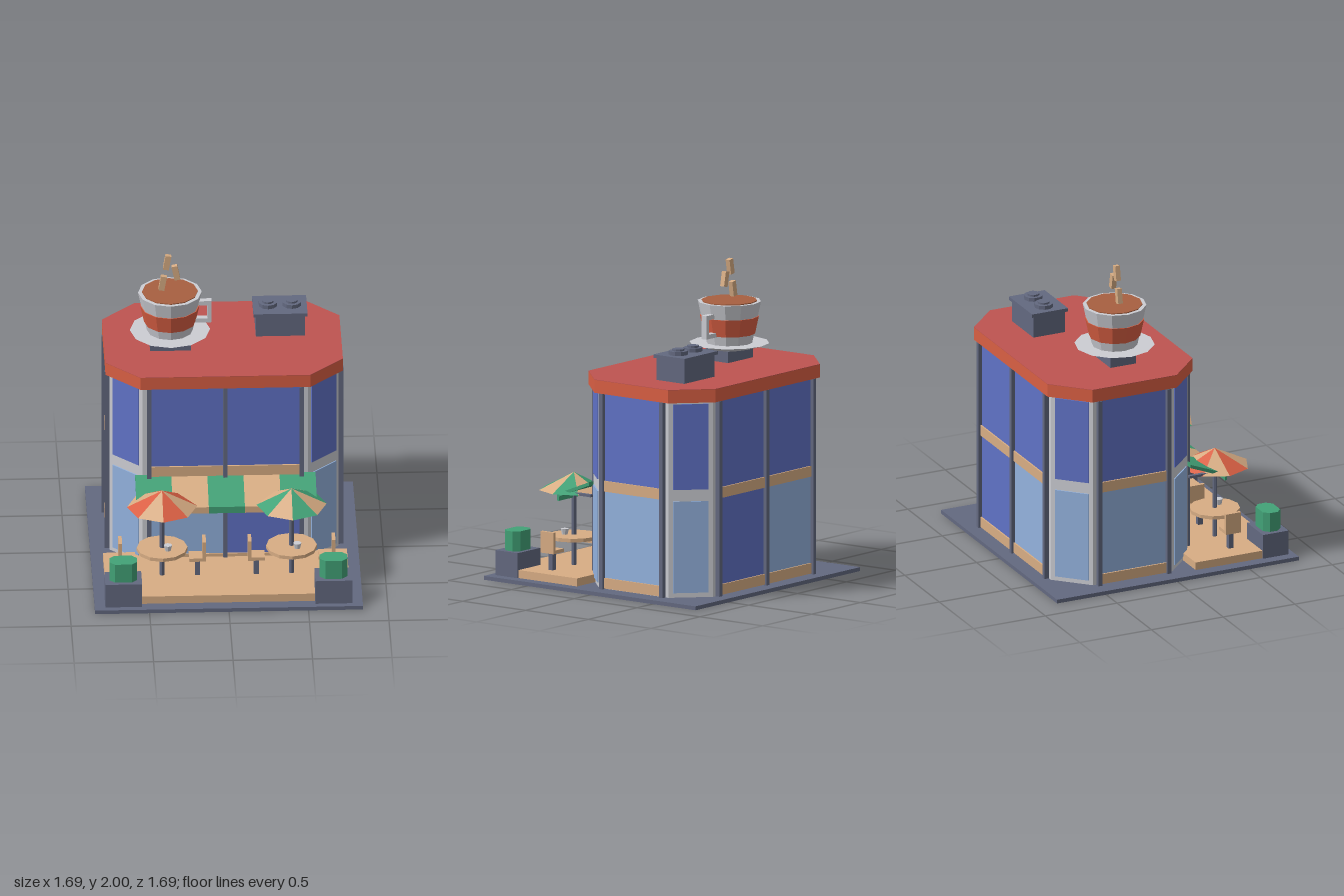
import * as THREE from 'three';

const mat = (name, color, side = THREE.FrontSide) => {
  const m = new THREE.MeshStandardMaterial({ color, side });
  m.flatShading = true;
  m.name = name;
  return m;
};

export function createModel() {
  const slate = mat('slate', 0x636980);
  const red = mat('orangeRed', 0xd95f43, THREE.DoubleSide);
  const roofRed = mat('roofRed', 0xbe5450);
  const tan = mat('tan', 0xd8ad84, THREE.DoubleSide);
  const green = mat('green', 0x42a277, THREE.DoubleSide);
  const pale = mat('paleGrey', 0xcccdd3);
  const blue = mat('blueGlass', 0x6072c6);
  const sky = mat('lightBlueGlass', 0x93b2de);
  const brown = mat('coffee', 0xa86040);

  const model = new THREE.Group();
  model.name = 'cafe';

  const add = (parent, name, geo, m, x = 0, y = 0, z = 0) => {
    const mesh = new THREE.Mesh(geo, m);
    mesh.name = name;
    mesh.position.set(x, y, z);
    parent.add(mesh);
    return mesh;
  };
  const group = (name, x = 0, y = 0, z = 0, ry = 0, parent = model) => {
    const g = new THREE.Group();
    g.name = name;
    g.position.set(x, y, z);
    g.rotation.y = ry;
    parent.add(g);
    return g;
  };
  // Box given by its extents
  const box = (parent, name, m, x0, x1, y0, y1, z0, z1) =>
    add(parent, name, new THREE.BoxGeometry(x1 - x0, y1 - y0, z1 - z0), m,
      (x0 + x1) / 2, (y0 + y1) / 2, (z0 + z1) / 2);
  // Cylinder standing from y0 to y1
  const cyl = (parent, name, m, r0, r1, y0, y1, sides, x = 0, z = 0) =>
    add(parent, name, new THREE.CylinderGeometry(r1, r0, y1 - y0, sides), m, x, (y0 + y1) / 2, z);
  // Rectangle with cut corners, extruded upwards
  const cutPrism = (hx, hz, c, h) => {
    const pts = [[hx, c - hz], [hx, hz - c], [hx - c, hz], [c - hx, hz],
      [-hx, hz - c], [-hx, c - hz], [c - hx, -hz], [hx - c, -hz]];
    const shape = new THREE.Shape(pts.map(p => new THREE.Vector2(...p)));
    return new THREE.ExtrudeGeometry(shape, { depth: h, bevelEnabled: false }).rotateX(-Math.PI / 2);
  };

  // Ground
  box(model, 'baseSlab', slate, -0.843, 0.843, 0, 0.025, -0.843, 0.843);
  box(model, 'terrace', tan, -0.767, 0.767, 0.025, 0.076, 0.16, 0.762);

  // Building shell and roof
  const CZ = -0.256;
  add(model, 'walls', cutPrism(0.72, 0.476, 0.2, 1.25), pale, 0, 0.025, CZ);
  add(model, 'roofRim', cutPrism(0.747, 0.506, 0.213, 0.083), red, 0, 1.275, CZ);
  add(model, 'roofTop', cutPrism(0.747, 0.506, 0.213, 0.003), roofRed, 0, 1.358, CZ);

  // Straight walls: glass bays between dark posts, with tan beams
  const wall = (name, x, z, ry, posts, lowerGlass) => {
    const g = group(name, x, 0, z, ry);
    posts.forEach(p => box(g, 'post', slate, p - 0.014, p + 0.014, 0.025, 1.275, -0.01, 0.032));
    lowerGlass.forEach((m, i) => {
      const a = posts[i] + 0.014, b = posts[i + 1] - 0.014;
      box(g, 'upperWindow', blue, a, b, 0.715, 1.272, 0, 0.008);
      box(g, 'lowerWindow', m, a, b, 0.095, 0.65, 0, 0.008);
      box(g, 'middleBeam', tan, a, b, 0.65, 0.718, 0, 0.018);
      box(g, 'sillBeam', tan, a, b, 0.03, 0.097, 0, 0.018);
    });
  };
  wall('frontWall', 0, CZ + 0.476, 0, [-0.48, 0, 0.48], [sky, blue]);
  wall('backWall', 0, CZ - 0.476, Math.PI, [-0.48, 0, 0.48], [blue, sky]);
  for (const s of [-1, 1]) {
    wall('sideWall', s * 0.72, CZ, s * Math.PI / 2, [-0.239, 0.239], [sky]);
    // Cut corners with framed windows
    for (const f of [-1, 1]) {
      const g = group('cornerWall', s * 0.62, 0, CZ + f * 0.376, Math.atan2(s, f));
      box(g, 'upperWindow', blue, -0.112, 0.112, 0.715, 1.262, 0, 0.008);
      box(g, 'lowerWindow', sky, -0.112, 0.112, 0.055, 0.64, 0, 0.008);
    }
  }

  // Striped awning with a short valance
  const awning = group('awning');
  const profile = new THREE.Shape([[0.22, 0.655], [0.22, 0.633], [0.46, 0.535], [0.46, 0.508],
    [0.475, 0.508], [0.475, 0.552]].map(p => new THREE.Vector2(...p)));
  const stripeW = 0.227;
  for (let i = 0; i < 5; i++) {
    const geo = new THREE.ExtrudeGeometry(profile, { depth: stripeW, bevelEnabled: false }).rotateY(-Math.PI / 2);
    add(awning, 'stripe', geo, i % 2 ? tan : green, (i - 1.5) * stripeW, 0, 0);
  }
  for (const s of [-1, 1])
    box(awning, 'bracket', slate, s * 0.54 - 0.012, s * 0.54 + 0.012, 0.556, 0.572, 0.22, 0.44);

  // Rooftop cup on its pedestal
  const cup = group('cupSign', -0.333, 0, -0.198);
  box(cup, 'pedestal', slate, -0.128, 0.128, 1.36, 1.432, -0.09, 0.09);
  cyl(cup, 'saucer', pale, 0.14, 0.253, 1.432, 1.466, 12);
  cyl(cup, 'bowl', pale, 0.145, 0.201, 1.466, 1.732, 12);
  cyl(cup, 'band', red, 0.163, 0.187, 1.525, 1.637, 12);
  cyl(cup, 'coffee', brown, 0.176, 0.176, 1.73, 1.738, 12);
  box(cup, 'handleTop', pale, 0.17, 0.262, 1.642, 1.672, -0.02, 0.02);
  box(cup, 'handleBottom', pale, 0.15, 0.262, 1.522, 1.55, -0.02, 0.02);
  box(cup, 'handleGrip', pale, 0.235, 0.262, 1.55, 1.642, -0.02, 0.02);
  for (const [x, y, tilt] of [[-0.018, 1.948, -0.17], [0.037, 1.875, 0.2], [-0.046, 1.803, -0.17]])
    add(cup, 'steam', new THREE.BoxGeometry(0.037, 0.097, 0.032), tan, x, y, 0.008).rotation.z = tilt;

  // Rooftop fan unit
  const unit = group('fanUnit', 0.366, 0, -0.393);
  box(unit, 'housing', slate, -0.155, 0.155, 1.36, 1.503, -0.11, 0.11);
  box(unit, 'lid', slate, -0.17, 0.17, 1.503, 1.525, -0.125, 0.125);
  for (const x of [-0.075, 0.075]) {
    cyl(unit, 'fanRing', slate, 0.06, 0.06, 1.525, 1.55, 10, x);
    cyl(unit, 'fanHub', slate, 0.038, 0.038, 1.55, 1.562, 10, x);
  }

  // Terrace furniture
  const chair = (parent, dir) => {
    // dir: side of the seat that carries the back
    const g = group('chair', dir * 0.222, 0, 0, dir > 0 ? 0 : Math.PI, parent);
    box(g, 'seat', tan, -0.053, 0.053, 0.188, 0.21, -0.052, 0.052);
    box(g, 'chairBack', tan, 0.031, 0.053, 0.21, 0.325, -0.052, 0.052);
    box(g, 'chairLeg', slate, -0.016, 0.016, 0.076, 0.188, -0.016, 0.016);
  };
  for (const s of [-1, 1]) {
    const set = group(s < 0 ? 'redTableSet' : 'greenTableSet', s * 0.407, 0, 0.465);
    cyl(set, 'pole', slate, 0.016, 0.016, 0.076, 0.655, 8);
    cyl(set, 'tableTop', tan, 0.16, 0.16, 0.247, 0.27, 12);
    cyl(set, 'smallCup', pale, 0.018, 0.026, 0.27, 0.307, 8, 0.035, 0.045);
    for (let i = 0; i < 8; i++) {
      const geo = new THREE.ConeGeometry(0.221, 0.112, 1, 1, true, i * Math.PI / 4, Math.PI / 4);
      add(set, 'umbrellaPanel', geo, i % 2 ? tan : s < 0 ? red : green, 0, 0.614, 0);
    }
    chair(set, -1);
    chair(set, 1);

    // Corner planter
    const planter = group('planter', s * 0.661, 0, 0.714);
    box(planter, 'planterBox', slate, -0.116, 0.116, 0.025, 0.185, -0.089, 0.089);
    add(planter, 'bush', cutPrism(0.087, 0.061, 0.034, 0.127), green, 0, 0.185, 0);
  }
  return model;
}
